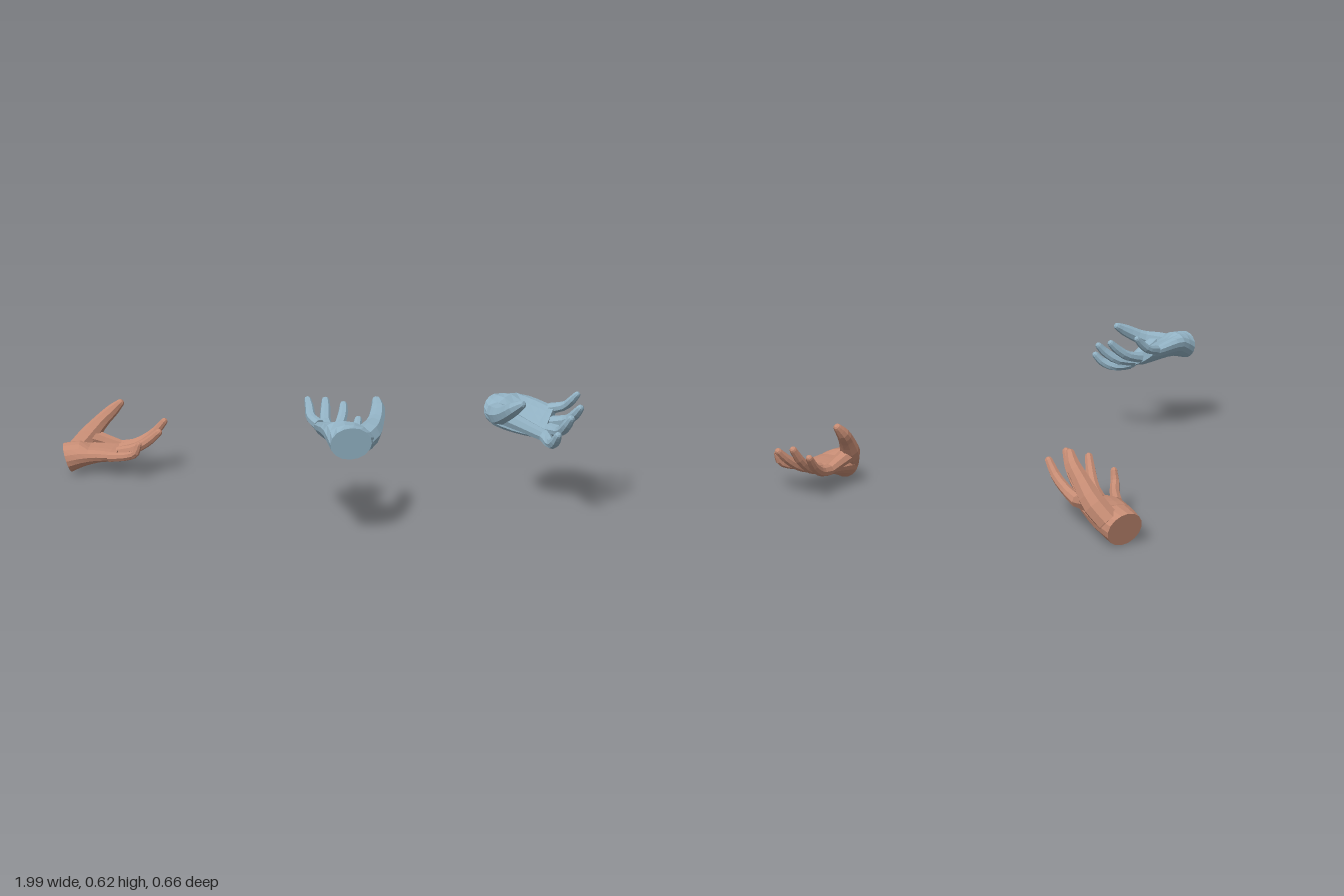
import * as THREE from 'three';

const V = (p) => new THREE.Vector3(...p);

// Closed loft through elliptical rings { c: centre, a: half-width vector, b: half-depth vector }
function loft(rings, sides, shape = () => 1) {
  const pos = [], idx = [];
  for (const { c, a, b } of rings) {
    for (let j = 0; j < sides; j++) {
      const t = (j / sides) * Math.PI * 2;
      const p = c.clone().addScaledVector(a, Math.cos(t)).addScaledVector(b, Math.sin(t) * shape(t, b));
      pos.push(p.x, p.y, p.z);
    }
  }
  const n = rings.length;
  for (let i = 0; i < n - 1; i++) {
    for (let j = 0; j < sides; j++) {
      const p = i * sides + j, q = i * sides + ((j + 1) % sides);
      idx.push(p, q, q + sides, p, q + sides, p + sides);
    }
  }
  // end caps
  const first = n * sides, last = first + 1, e = (n - 1) * sides;
  pos.push(...rings[0].c.toArray(), ...rings[n - 1].c.toArray());
  for (let j = 0; j < sides; j++) {
    const k = (j + 1) % sides;
    idx.push(first, k, j, last, e + j, e + k);
  }
  const g = new THREE.BufferGeometry();
  g.setAttribute('position', new THREE.Float32BufferAttribute(pos, 3));
  g.setIndex(idx);
  g.computeVertexNormals();
  return g;
}

// Linear interpolation in a short list
function sample(list, t) {
  const f = t * (list.length - 1), i = Math.min(Math.floor(f), list.length - 2);
  return THREE.MathUtils.lerp(list[i], list[i + 1], f - i);
}

// Finger-like limb along a curve, with a rounded tip
function limb(points, radii, lateral, steps = 7) {
  const curve = new THREE.CatmullRomCurve3(points.map(V));
  const rings = [];
  const add = (c, tan, r) => {
    const a = lateral.clone().addScaledVector(tan, -lateral.dot(tan)).normalize();
    const b = tan.clone().cross(a);
    rings.push({ c, a: a.multiplyScalar(r), b: b.multiplyScalar(r) });
  };
  for (let i = 0; i <= steps; i++) {
    const t = i / steps;
    add(curve.getPoint(t), curve.getTangent(t), sample(radii, t));
  }
  const tan = curve.getTangent(1), end = curve.getPoint(1), r = radii[radii.length - 1];
  add(end.clone().addScaledVector(tan, r * 0.55), tan, r * 0.8);
  add(end.clone().addScaledVector(tan, r * 0.85), tan, r * 0.4);
  return loft(rings, 8);
}

// Wrist and palm, from matching points on the thumb edge and the outer edge
function palm({ thumbEdge, outerEdge, depth }) {
  const A = new THREE.CatmullRomCurve3(thumbEdge.map(V));
  const B = new THREE.CatmullRomCurve3(outerEdge.map(V));
  const mid = (t) => A.getPoint(t).add(B.getPoint(t)).multiplyScalar(0.5);
  const rings = [], steps = 8;
  for (let i = 0; i <= steps; i++) {
    const t = i / steps;
    const a = A.getPoint(t).sub(B.getPoint(t)).multiplyScalar(0.5);
    const axis = mid(Math.min(1, t + 0.1)).sub(mid(Math.max(0, t - 0.1)));
    const b = axis.cross(a).normalize().multiplyScalar(sample(depth, t));
    rings.push({ c: mid(t), a, b });
  }
  // hollow the upper, palm-facing side past the wrist
  const hollow = (t, b) => {
    const up = Math.sin(t) * b.y > 0, s = Math.abs(Math.sin(t));
    return up && b.length() < 0.068 ? 1 - 0.35 * s * s : 1;
  };
  return loft(rings, 16, hollow);
}

function hand(name, spec, color) {
  const group = new THREE.Group();
  group.name = name;
  const material = new THREE.MeshStandardMaterial({ color, flatShading: true });
  const add = (part, geometry) => {
    const mesh = new THREE.Mesh(geometry, material);
    mesh.name = part;
    group.add(mesh);
  };
  const lateral = V(spec.thumbEdge[3]).sub(V(spec.outerEdge[3])).normalize();
  add('palm', palm(spec));
  for (const part of ['indexFinger', 'middleFinger', 'ringFinger', 'littleFinger']) {
    const k = part === 'littleFinger' ? 0.88 : 1;
    add(part, limb(spec[part], [0.032, 0.027, 0.025, 0.019].map((r) => r * k), lateral));
  }
  add('thumb', limb(spec.thumb, [0.055, 0.056, 0.041, 0.035, 0.022], lateral, 9));
  // web of skin between thumb and index finger
  const w0 = V(spec.thumb[1]), w1 = V(spec.indexFinger[0]);
  const middle = w0.clone().lerp(w1, 0.5);
  add('thumbWeb', limb([w0, middle, w1].map((p) => p.toArray()), [0.048, 0.038, 0.03], new THREE.Vector3(0, 1, 0), 4));
  return group;
}

const lowerHand = {
  thumbEdge: [[-0.995, 0.09, 0.2], [-0.95, 0.115, 0.12], [-0.87, 0.13, 0.05], [-0.80, 0.135, 0.0], [-0.765, 0.14, -0.025]],
  outerEdge: [[-0.875, 0.085, 0.32], [-0.81, 0.105, 0.275], [-0.74, 0.115, 0.22], [-0.68, 0.115, 0.175], [-0.66, 0.12, 0.15]],
  depth: [0.084, 0.07, 0.055, 0.043, 0.028],
  indexFinger: [[-0.775, 0.135, 0.0], [-0.72, 0.15, -0.06], [-0.665, 0.2, -0.135], [-0.625, 0.265, -0.185]],
  middleFinger: [[-0.74, 0.13, 0.04], [-0.665, 0.16, -0.03], [-0.6, 0.225, -0.09], [-0.555, 0.292, -0.122]],
  ringFinger: [[-0.71, 0.125, 0.085], [-0.63, 0.15, 0.035], [-0.55, 0.205, -0.005], [-0.498, 0.256, -0.028]],
  littleFinger: [[-0.695, 0.115, 0.16], [-0.6, 0.13, 0.125], [-0.54, 0.155, 0.11], [-0.52, 0.205, 0.1]],
  thumb: [[-0.94, 0.12, 0.19], [-0.92, 0.19, 0.115], [-0.88, 0.275, 0.047], [-0.845, 0.33, 0.0], [-0.808, 0.372, -0.024]],
};

const upperHand = {
  thumbEdge: [[0.995, 0.49, 0.065], [0.955, 0.465, -0.02], [0.85, 0.435, -0.09], [0.745, 0.415, -0.13], [0.7, 0.41, -0.15]],
  outerEdge: [[0.875, 0.49, 0.21], [0.8, 0.535, 0.165], [0.72, 0.53, 0.11], [0.655, 0.515, 0.055], [0.635, 0.515, 0.03]],
  depth: [0.076, 0.069, 0.055, 0.043, 0.028],
  indexFinger: [[0.695, 0.415, -0.13], [0.665, 0.402, -0.215], [0.645, 0.43, -0.28], [0.63, 0.47, -0.315]],
  middleFinger: [[0.67, 0.44, -0.1], [0.615, 0.455, -0.185], [0.585, 0.503, -0.25], [0.565, 0.54, -0.278]],
  ringFinger: [[0.65, 0.465, -0.06], [0.58, 0.49, -0.12], [0.54, 0.535, -0.17], [0.518, 0.568, -0.195]],
  littleFinger: [[0.665, 0.51, 0.03], [0.59, 0.53, 0.0], [0.555, 0.565, -0.03], [0.528, 0.598, -0.048]],
  thumb: [[0.935, 0.49, 0.06], [0.91, 0.505, -0.03], [0.88, 0.53, -0.11], [0.835, 0.575, -0.19], [0.797, 0.605, -0.23]],
};

export function createModel() {
  const model = new THREE.Group();
  model.name = 'openHands';
  model.add(hand('lowerHand', lowerHand, 0xc68c74));
  model.add(hand('upperHand', upperHand, 0x92b2c4));
  return model;
}
